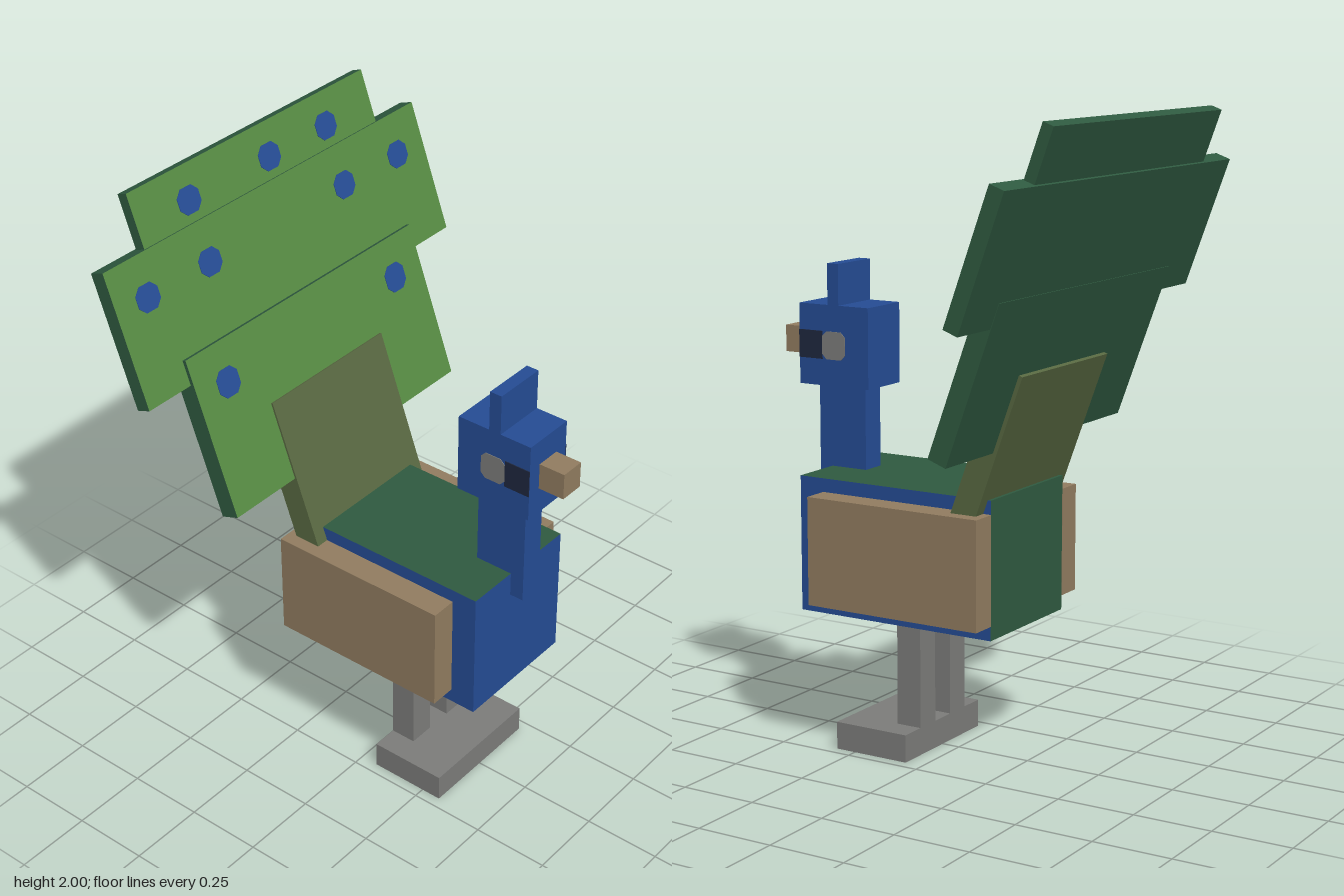
import * as THREE from 'three';

const mat = (name, color) => {
  const m = new THREE.MeshStandardMaterial({ color });
  m.name = name;
  return m;
};

export function createModel() {
  const blue = mat('blue', 0x254c94);
  const darkGreen = mat('darkGreen', 0x2f5a40);
  const green = mat('leafGreen', 0x568a42);
  const olive = mat('olive', 0x586841);
  const tan = mat('tan', 0x917c60);
  const brown = mat('brown', 0x6a3a26);
  const grey = mat('grey', 0x7c7c7a);
  const navy = mat('navy', 0x1e273e);

  const model = new THREE.Group();
  model.name = 'bird';

  // Box from min/max extents; materials may be one or six (+x -x +y -y +z -z)
  const box = (name, material, x0, x1, y0, y1, z0, z1) => {
    const mesh = new THREE.Mesh(new THREE.BoxGeometry(x1 - x0, y1 - y0, z1 - z0), material);
    mesh.position.set((x0 + x1) / 2, (y0 + y1) / 2, (z0 + z1) / 2);
    mesh.name = name;
    model.add(mesh);
    return mesh;
  };

  // Thin plate with cut corners, lying in the xy plane
  const plate = (name, material, w, h, cut) => {
    const a = w / 2, b = h / 2;
    const s = new THREE.Shape([
      [-a + cut, -b], [a - cut, -b], [a, -b + cut], [a, b - cut],
      [a - cut, b], [-a + cut, b], [-a, b - cut], [-a, -b + cut],
    ].map(([x, y]) => new THREE.Vector2(x, y)));
    const mesh = new THREE.Mesh(
      new THREE.ExtrudeGeometry(s, { depth: 0.002, bevelEnabled: false }), material);
    mesh.name = name;
    return mesh;
  };

  // Body, neck and head
  box('body', [blue, blue, darkGreen, navy, blue, darkGreen], -0.215, 0.215, 0.435, 0.865, -0.245, 0.445);
  box('neck', blue, -0.041, 0.041, 0.785, 1.13, 0.318, 0.491);
  box('head', blue, -0.088, 0.088, 1.13, 1.385, 0.275, 0.533);
  box('crest', blue, -0.088, 0.088, 1.385, 1.515, 0.385, 0.426);
  box('beak', tan, -0.041, 0.041, 1.218, 1.303, 0.533, 0.62);
  box('foot', grey, -0.215, 0.215, 0, 0.088, 0.06, 0.317);

  // Mirrored parts
  for (const [side, s] of [['left', 1], ['right', -1]]) {
    const span = (a, b) => (s > 0 ? [a, b] : [-b, -a]);
    box(side + 'Wing', [tan, tan, tan, brown, tan, tan], ...span(0.215, 0.3), 0.48, 0.822, -0.246, 0.36);
    box(side + 'Leg', grey, ...span(0.044, 0.13), 0.088, 0.435, 0.06, 0.145);
    box(side + 'Pupil', navy, ...span(0.088, 0.091), 1.214, 1.302, 0.446, 0.533);
    const white = plate(side + 'EyeWhite', grey, 0.086, 0.088, 0.016);
    white.rotation.y = s * Math.PI / 2;
    white.position.set(s * 0.089, 1.258, 0.403);
    model.add(white);
  }

  // Tail fan: panels leaning back, each placed by its front lower edge
  const tilt = THREE.MathUtils.degToRad(20);
  const fan = [darkGreen, darkGreen, darkGreen, darkGreen, green, darkGreen];
  const panels = [
    { name: 'tailBase', m: olive, w: 0.515, y0: 0.8, y1: 1.28, z: 0.169, t: 0.083, spots: [] },
    { name: 'lowerFan', m: fan, w: 1.035, y0: 1.04, y1: 1.522, z: 0.162, t: 0.064, spots: [[-0.39, 1.403], [0.39, 1.403]] },
    { name: 'middleFan', m: fan, w: 1.38, y0: 1.443, y1: 1.843, z: 0.149, t: 0.05,
      spots: [[-0.565, 1.724], [-0.305, 1.724], [0.303, 1.724], [0.563, 1.724]] },
    { name: 'upperFan', m: fan, w: 1.035, y0: 1.78, y1: 2, z: 0.143, t: 0.036,
      spots: [[-0.305, 1.903], [0.044, 1.903], [0.303, 1.903]] },
  ];
  for (const p of panels) {
    const g = new THREE.Group();
    g.name = p.name;
    g.position.set(0, p.y0, p.z - p.y0 * Math.tan(tilt));
    g.rotation.x = -tilt;
    const len = (p.y1 - p.y0) / Math.cos(tilt);
    const panel = new THREE.Mesh(new THREE.BoxGeometry(p.w, len, p.t), p.m);
    panel.name = p.name + 'Panel';
    panel.position.set(0, len / 2, -p.t / 2);
    g.add(panel);
    for (const [x, y] of p.spots) {
      const spot = plate('featherSpot', blue, 0.088, p.name === 'lowerFan' ? 0.088 : 0.08, 0.022);
      spot.position.set(x, (y - p.y0) / Math.cos(tilt), 0.001);
      g.add(spot);
    }
    model.add(g);
  }
  return model;
}
